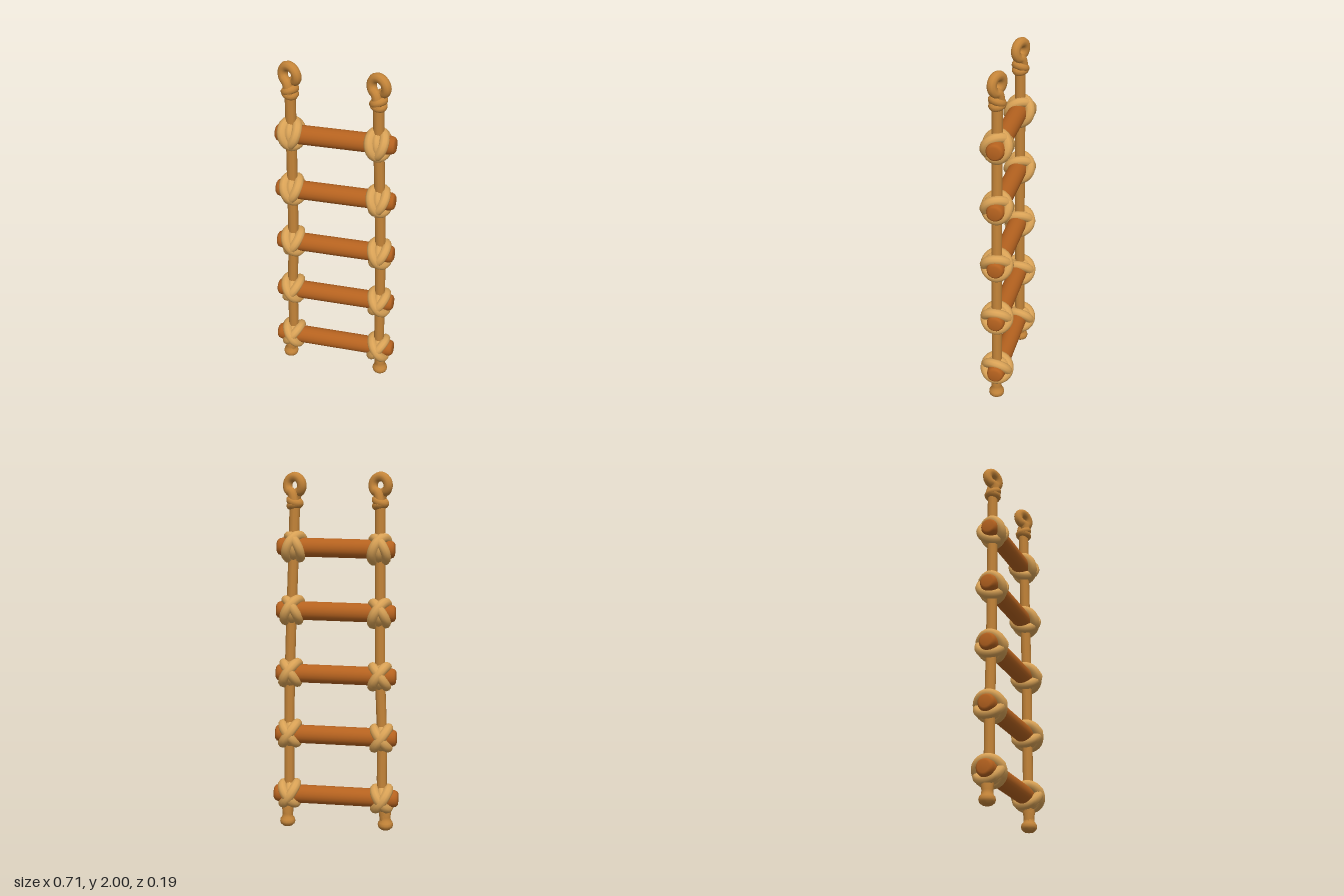
import * as THREE from 'three';

const material = (name, color) => {
  const m = new THREE.MeshStandardMaterial({ color });
  m.name = name;
  return m;
};

export function createModel() {
  const wood = material('rung wood', 0xb5621f);
  const rope = material('rope', 0xc58539);
  const cord = material('lashing cord', 0xd9a256);
  const ladder = new THREE.Group();
  ladder.name = 'ropeLadder';

  const add = (parent, name, geometry, mat) => {
    const mesh = new THREE.Mesh(geometry, mat);
    mesh.name = name;
    parent.add(mesh);
    return mesh;
  };
  const curve = (points, closed = false) =>
    new THREE.CatmullRomCurve3(points.map((p) => new THREE.Vector3(...p)), closed);

  // Heights shared by the rope bends and the rungs, bottom to top
  const heights = [0.187, 0.537, 0.885, 1.238, 1.588];
  const halfLengths = [0.354, 0.343, 0.336, 0.331, 0.324];
  const ropeX = {
    left: [0.27, 0.266, 0.26, 0.248, 0.234],
    right: [-0.264, -0.26, -0.248, -0.245, -0.243],
  };
  const foot = { left: 0.279, right: -0.283 };
  const head = { left: 0.226, right: -0.243 };

  // Rungs: slightly tilted poles with rounded ends
  heights.forEach((y, i) => {
    const h = halfLengths[i], r = 0.052;
    const profile = [[0, -h], [0.032, -h], [0.043, -h + 0.008], [0.048, -h + 0.022], [r, -h + 0.06],
      [r, h - 0.06], [0.048, h - 0.022], [0.043, h - 0.008], [0.032, h], [0, h]];
    const geo = new THREE.LatheGeometry(profile.map((p) => new THREE.Vector2(...p)), 20);
    geo.rotateZ(-Math.PI / 2);
    const rung = add(ladder, 'rung', geo, wood);
    rung.position.set(0, y, 0);
    rung.rotation.set(0, 0.02, 0.022);
  });

  // Lashing: two crossing turns of cord over an inner turn
  const addLashing = (x, y, turn) => {
    const lashing = new THREE.Group();
    lashing.name = 'lashing';
    for (const [R, tube, yaw, roll] of [[0.068, 0.028, 0.12, 0.6], [0.066, 0.027, -0.15, -0.62], [0.052, 0.024, 0.1, 0]]) {
      const geo = new THREE.TorusGeometry(R, tube, 10, 28);
      geo.rotateY(Math.PI / 2);
      const wrap = add(lashing, 'cordTurn', geo, cord);
      wrap.rotation.set(0, yaw, roll);
    }
    lashing.position.set(x, y, 0);
    lashing.rotation.x = turn;
    ladder.add(lashing);
  };

  for (const side of ['left', 'right']) {
    const xs = ropeX[side];

    // Long side rope
    const path = curve([[foot[side], 0.03, 0], ...heights.map((y, i) => [xs[i], y, 0]), [head[side], 1.84, 0]]);
    add(ladder, side + 'Rope', new THREE.TubeGeometry(path, 60, 0.029, 10), rope);

    heights.forEach((y, i) => addLashing(xs[i] * 0.985, y + xs[i] * 0.022, i * 0.25));

    // Stopper knot at the foot
    const knob = [[0, 0], [0.026, 0.002], [0.04, 0.014], [0.044, 0.028], [0.041, 0.043], [0.031, 0.056], [0.029, 0.075], [0.033, 0.11], [0.028, 0.14]];
    const stopper = add(ladder, 'stopperKnot',
      new THREE.LatheGeometry(knob.map((p) => new THREE.Vector2(...p)), 16), rope);
    stopper.position.x = foot[side];

    // Hanging eye whose two strands cross above its knot
    const eye = new THREE.Group();
    eye.name = side + 'Eye';
    const points = [[0.012, 1.82, 0.016]];
    for (let i = 0; i <= 10; i++) {
      const a = -Math.PI / 2 - 0.15 - (i / 10) * (Math.PI * 2 - 0.3);
      points.push([Math.cos(a) * 0.044, 1.93 + Math.sin(a) * 0.044, 0.016 - 0.032 * i / 10]);
    }
    points.push([-0.012, 1.82, -0.016]);
    add(eye, 'eyeLoop', new THREE.TubeGeometry(curve(points), 56, 0.026, 10), rope);

    // Knot turns below the eye
    for (const [y, tilt, R] of [[1.84, 0.5, 0.027], [1.822, -0.3, 0.024]]) {
      const geo = new THREE.TorusGeometry(R, 0.023, 10, 20);
      geo.rotateX(Math.PI / 2);
      const turn = add(eye, 'knotTurn', geo, rope);
      turn.position.y = y;
      turn.rotation.z = tilt;
    }
    eye.position.x = head[side];
    eye.rotation.y = -0.55;
    ladder.add(eye);
  }
  return ladder;
}
